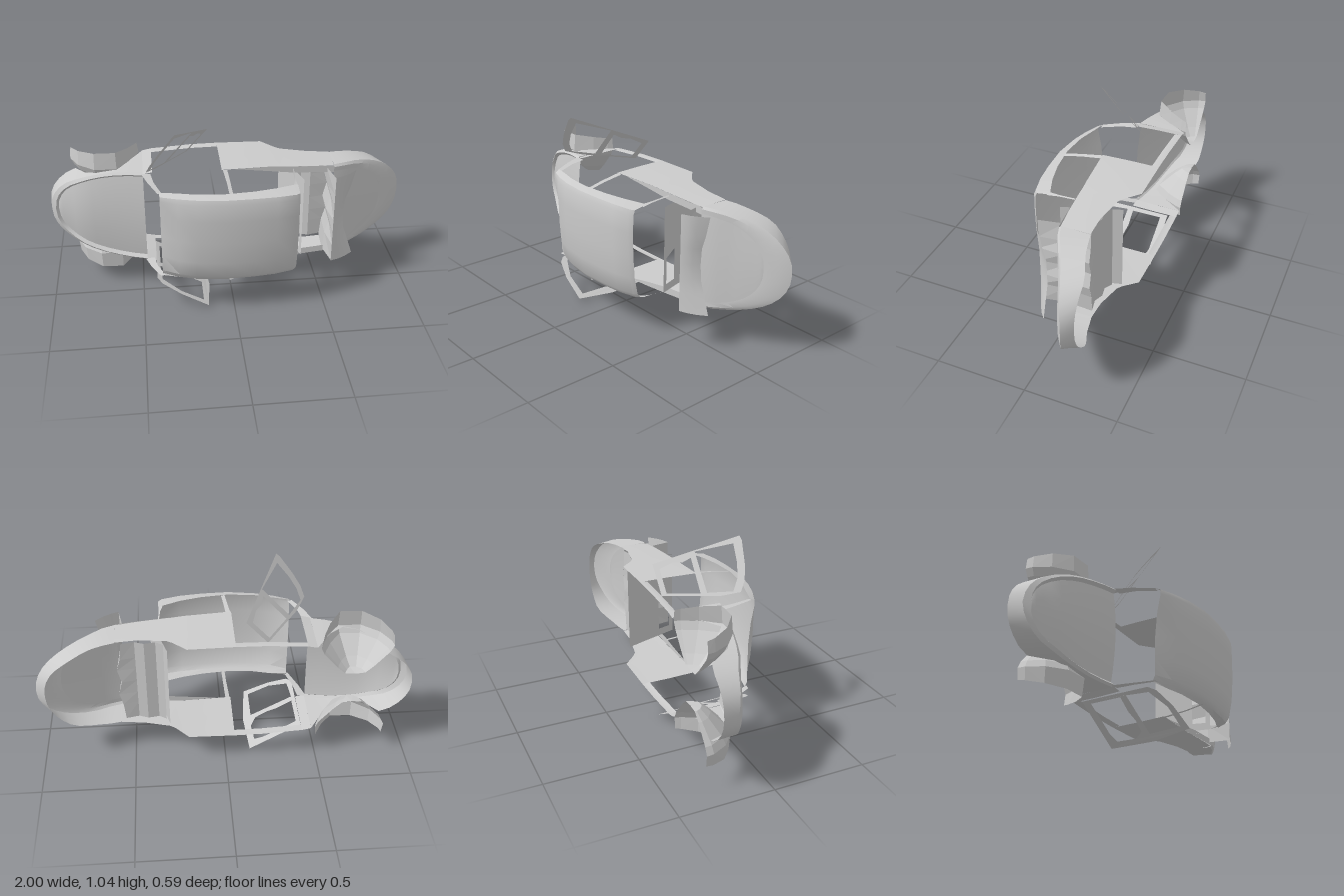
import * as THREE from 'three';
import { toCreasedNormals } from 'three/addons/utils/BufferGeometryUtils.js';

const MID = 0.465; // the shell lies on its side: x length, y width, z height
const smooth = new THREE.MeshStandardMaterial({ color: 0xcccccc, side: THREE.DoubleSide });
const flat = new THREE.MeshStandardMaterial({ color: 0xcccccc, side: THREE.DoubleSide, flatShading: true });

// Surface through rows of [x, offset from centre line, z]
function loft(rows, crease = 0.6) {
  const n = rows[0].length, index = [];
  for (let i = 0; i < rows.length - 1; i++)
    for (let j = 0; j < n - 1; j++) {
      const a = i * n + j, b = a + n;
      index.push(a, b, a + 1, b, b + 1, a + 1);
    }
  const g = new THREE.BufferGeometry();
  const pos = rows.flat().flatMap(([x, h, z]) => [x, MID + h, z]);
  g.setAttribute('position', new THREE.Float32BufferAttribute(pos, 3));
  g.setIndex(index);
  g.computeVertexNormals();
  return toCreasedNormals(g, crease);
}

// Flat sheet with holes, mapped into space by a rule
function sheet(outline, holes, map) {
  const v2 = (l) => l.map((p) => new THREE.Vector2(...p));
  const shape = new THREE.Shape(v2(outline));
  shape.holes = holes.map((h) => new THREE.Path(v2(h)));
  const g = new THREE.ShapeGeometry(shape), p = g.attributes.position;
  for (let i = 0; i < p.count; i++) p.setXYZ(i, ...map(p.getX(i), p.getY(i)));
  g.computeVertexNormals();
  return g;
}

// Value at x from [x, value] pairs in rising order
function at(list, x) {
  const i = Math.max(1, list.findIndex((p) => p[0] >= x));
  const [[x0, v0], [x1, v1]] = [list[i - 1], list[i]];
  return v0 + (v1 - v0) * THREE.MathUtils.clamp((x - x0) / (x1 - x0), 0, 1);
}

// Rounded end of the body: rings around the tip, closed by a crowned lid
const STEPS = 10;
function endShell(x0, rings, crown) {
  const ring = ({ tip, w, z }) => Array.from({ length: 2 * STEPS + 1 }, (_, i) => {
    const a = ((i / STEPS - 1) * Math.PI) / 2;
    const x = x0 + (tip - x0) * Math.cos(a);
    return [x, w * Math.sign(a) * Math.abs(Math.sin(a)) ** 0.88, at(z, Math.abs(x))];
  });
  const band = rings.map(ring), rim = band[band.length - 1];
  const lid = Array.from({ length: STEPS + 1 }, (_, i) => {
    const [x, h, z] = rim[STEPS + i];
    const rise = crown * Math.min(1, (2 * i) / STEPS);
    return [-1, -0.8, -0.4, 0, 0.4, 0.8, 1].map((k) => [x, k * h, z + rise * (1 - k * k)]);
  });
  return [loft(band, 0.5), loft(lid)];
}

export function createModel() {
  const root = new THREE.Group();
  const add = (name, geometry, material = smooth) => {
    const m = new THREE.Mesh(geometry, material);
    m.name = name;
    root.add(m);
  };

  // Nose with bonnet, tail with boot lid
  const noseTop = [[0.57, -0.012], [0.64, -0.035], [0.72, -0.08], [0.82, -0.125], [0.88, -0.15], [0.95, -0.175], [1, -0.2]];
  const [noseBand, bonnet] = endShell(0.57, [
    { tip: 0.95, w: 0.272, z: [[0.57, -0.18], [0.7, -0.21], [0.82, -0.26], [1, -0.26]] },
    { tip: 1, w: 0.276, z: noseTop.map(([x, z]) => [x, z - 0.012]) },
    { tip: 0.95, w: 0.264, z: noseTop },
    { tip: 0.875, w: 0.24, z: noseTop }], 0.006);
  add('noseBand', noseBand);
  add('bonnet', bonnet);
  const tailTop = [[0.47, -0.022], [0.55, -0.042], [0.62, -0.06], [0.73, -0.085], [0.82, -0.11], [0.9, -0.15], [0.98, -0.175], [1, -0.2]];
  const [tailBand, bootLid] = endShell(-0.47, [
    { tip: -1, w: 0.276, z: [[0.47, -0.3], [0.51, -0.29], [0.55, -0.18], [0.62, -0.11], [0.73, -0.12], [0.8, -0.17], [0.85, -0.28], [1, -0.28]] },
    { tip: -0.99, w: 0.277, z: tailTop.map(([x, z]) => [x, z - 0.012]) },
    { tip: -0.965, w: 0.266, z: tailTop },
    { tip: -0.95, w: 0.25, z: tailTop.map(([x, z]) => [x, z - 0.018]) }], 0.02);
  add('tailBand', tailBand);
  add('bootLid', bootLid);

  // Roof: crowned sheet with turned-down rails, lower towards the right edge
  const profile = [[-1.03, 0], [-0.98, -0.05], [-0.88, -0.03], [-0.5, -0.01], [0, 0],
    [0.5, 0.002], [0.88, 0], [0.98, -0.01], [1.03, 0]];
  add('roof', loft([
    [-0.39, 0.205, 0.255, 0.04], [-0.3, 0.24, 0.258, 0.05], [-0.2, 0.268, 0.26, 0.05], [-0.05, 0.288, 0.262, 0.055],
    [0.1, 0.284, 0.261, 0.065], [0.22, 0.273, 0.259, 0.08], [0.32, 0.252, 0.255, 0.095], [0.34, 0.235, 0.253, 0.08]]
    .map(([x, z, w, drop], i) => profile.map(([k, d]) => {
      const dip = i === 0 ? 0.04 * (1 - k * k) : 0;
      return [x, k * w, z - dip + (Math.abs(k) > 1 ? -drop - (k < 0 ? 0.01 : 0) : d)];
    }))));

  // Slanted bulkhead plate with an opening, and the folded floor ahead of it
  add('bulkhead', sheet([[-0.25, -0.24], [0.25, -0.24], [0.24, 0.07], [-0.24, 0.07]],
    [[[-0.2, -0.03], [-0.02, -0.03], [-0.05, 0.045], [-0.2, 0.045]]],
    (h, z) => [0.37 + 0.29 * z, MID + h, z]), flat);
  const across = [-1, -0.6, -0.32, 0, 0.32, 0.6, 1];
  const kink = [0, 0.01, 0.03, 0.01, 0.03, 0.01, 0];
  add('frontFloor', loft([[0.32, -0.19, 0], [0.36, -0.165, 0], [0.42, -0.175, 0], [0.47, -0.155, 0], [0.54, -0.17, 1]]
    .map(([x, z, bend]) => across.map((k, j) => [x + bend * kink[j], k * 0.255, z]))), flat);

  // Raised front lid: kinked wall down to the floor and a curled lip
  add('raisedLidWall', loft([[0.54, -0.17, 1], [0.53, -0.02, 1], [0.555, 0.112, 0]].map(([x, z, bend]) =>
    across.map((k, j) => [x + bend * kink[j], k * 0.262, z]))), flat);
  const lipX = [0.69, 0.655, 0.63, 0.625, 0.63, 0.655, 0.68];
  add('raisedLid', loft([0, 0.33, 0.67, 1].map((t) => across.map((k, j) =>
    [0.555 + (lipX[j] - 0.555) * t, k * 0.265, 0.112 - 0.03 * t - 0.045 * t * t]))));

  // Wheel arch outline [x, z] and its centre
  const arch = [[-0.87, -0.3], [-0.865, -0.26], [-0.82, -0.175], [-0.73, -0.105], [-0.61, -0.1], [-0.54, -0.19], [-0.5, -0.27], [-0.49, -0.3]];
  const archX = -0.68;

  for (const s of [1, -1]) {
    const side = s > 0 ? 'left' : 'right';
    const wall = (list) => loft(list.map(([x, b, t, w]) =>
      [[x, s * w, b], [x, s * w, (b + t) / 2], [x, s * (w - 0.004), t]]));

    // Flank: rear corner, sill under the door opening, solid front part
    add(side + 'RearCorner', wall([[-0.47, -0.3, -0.025, 0.277], [-0.42, -0.3, -0.02, 0.288]]));
    add(side + 'Sill', wall([[-0.42, -0.3, -0.26, 0.288], [-0.2, -0.3, -0.26, 0.302], [-0.05, -0.3, -0.26, 0.304]]));
    add(side + 'FrontFlank', wall([[-0.05, -0.3, 0.022, 0.304], [0.2, -0.3, 0.005, 0.3],
      [0.27, -0.23, 0, 0.295], [0.3, -0.21, 0, 0.293], [0.45, -0.18, -0.008, 0.284], [0.57, -0.18, -0.02, 0.275]]));
    add(side + 'FenderShelf', loft([[0.02, 0.298, 0.298, 0.018], [0.2, 0.296, 0.27, 0.005],
      [0.34, 0.287, 0.25, 0], [0.57, 0.272, 0.235, -0.012]]
      .map(([x, o, i, z]) => [[x, s * o, z], [x, s * i, z]])));

    // Pillars as narrow strips [x, half width, z, strip width]
    const strip = (pts) => loft(pts.map(([x, h, z, d]) => [[x, s * h, z], [x + d, s * (h - 0.004), z]]));
    add(side + 'CentrePillar', strip([[-0.045, 0.3, 0.02, 0.025], [-0.035, 0.285, 0.14, 0.02], [-0.03, 0.266, 0.235, 0.02]]));
    add(side + 'WindscreenPillar', strip([[0.338, 0.275, 0, 0.006], [0.33, 0.265, 0.1, 0.008], [0.315, 0.256, 0.17, 0.025]]));
    add(side + 'RearPillar', strip([[-0.48, 0.272, -0.03, 0.05], [-0.45, 0.268, 0.06, 0.035], [-0.4, 0.258, 0.17, 0.025]]));

    // Rear wheel housing: flare outside, faceted bowl inside
    const ring = (h, rise, k) => arch.map(([x, z]) =>
      [archX + (x - archX) * k, s * (h + rise * (z + 0.3) * 5), -0.3 + (z + 0.3) * k]);
    add(side + 'WheelHousing', loft([ring(0.33, 0.035, 0.96), ring(0.27, 0, 1), ring(0.23, 0, 0.9),
      ring(0.14, 0, 0.5), ring(0.1, 0, 0.28), ring(0.095, 0, 0.01)]), flat);
  }

  // Open doors: window frame above, pierced panel below
  add('leftDoor', sheet(
    [[0, 0], [1, 0], [1.9, 1.317], [1.75, 1.33], [1, 1.27], [0.5, 1.2], [0.13, 1.1], [0, 0.8]],
    [[[1.65, 1.2], [1.4, 0.64], [0.1, 0.64], [0.15, 1.0], [0.55, 1.11], [1.03, 1.17]],
      [[1.2, 0.56], [1.05, 0.42], [1.05, 0.28], [0.85, 0.08], [0.08, 0.08], [0.08, 0.55]]],
    (u, v) => [-0.22 + 0.115 * u - 0.225 * v, 0.75 + 0.13 * u + 0.033 * v, -0.25 + 0.3 * v]), flat);
  add('rightDoor', sheet(
    [[0, -0.245], [1.12, -0.245], [1.1, 0], [0.95, 0.225], [0.45, 0.21], [0.1, 0.175], [0, 0.14]],
    [[[0.07, 0.005], [0.93, 0.005], [0.88, 0.185], [0.45, 0.18], [0.1, 0.13]],
      [[0.08, -0.03], [0.4, -0.035], [0.6, -0.025], [0.85, -0.03], [0.98, -0.08], [0.98, -0.19], [0.8, -0.205], [0.08, -0.205]]],
    (u, z) => [-0.42 + 0.27 * u + 0.08 * z * u, 0.171 - 0.15 * u, z]), flat);

  return root;
}
